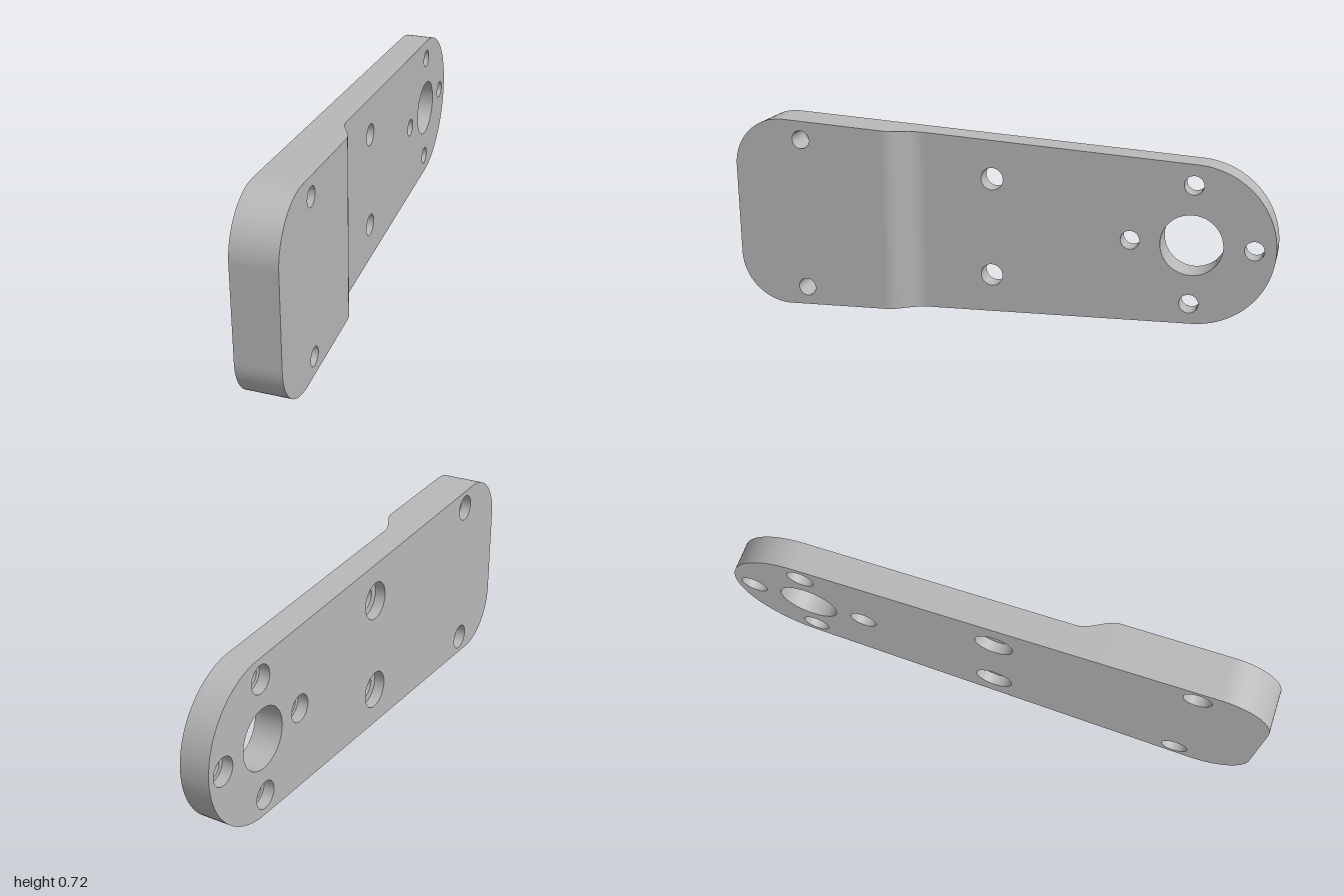
import * as THREE from 'three';

// Outline is drawn in (u, v) with u = -z and v = y.
const H = 0.722, MID = H / 2;
const BACK = -0.079, THIN = 0.028, THICK = 0.079;
const U0 = -0.41, U1 = -0.27; // the step between thick and thin parts
const TAIL = { u: 0.71, r: 0.29 }, CORNER = { u: -0.81, r: 0.19 };
const STEPS = 14;

// Front surface height along the plate
function frontX(u) {
  return THIN + (THICK - THIN) * (1 - THREE.MathUtils.smoothstep(u, U0, U1));
}

function arc(cu, cv, r, a0, a1, n) {
  return Array.from({ length: n + 1 }, (_, i) => {
    const a = a0 + (a1 - a0) * i / n;
    return new THREE.Vector2(cu + r * Math.cos(a), cv + r * Math.sin(a));
  });
}

// Rounded, tapering outline, counterclockwise, with extra points along the step
function makeOutline() {
  const du = TAIL.u - CORNER.u, dv = MID - CORNER.r;
  const tilt = Math.atan2(dv, du) - Math.asin((TAIL.r - CORNER.r) / Math.hypot(du, dv));
  const a = Math.PI / 2 - tilt;
  const tail = arc(TAIL.u, MID, TAIL.r, -a, a, 64);
  const top = arc(CORNER.u, H - CORNER.r, CORNER.r, a, Math.PI, 24);
  const bottom = arc(CORNER.u, CORNER.r, CORNER.r, Math.PI, 2 * Math.PI - a, 24);
  const p = tail[tail.length - 1], q = top[0];
  const step = Array.from({ length: STEPS + 1 }, (_, i) => {
    const u = U1 + (U0 - U1) * i / STEPS;
    return new THREE.Vector2(u, p.y + (q.y - p.y) * (u - p.x) / (q.x - p.x));
  });
  const stepLow = step.map(s => new THREE.Vector2(s.x, H - s.y)).reverse();
  return { points: [...tail, ...step, ...top, ...bottom, ...stepLow], step };
}

// Quad strip between two rows of [x, u, v] points
function strip(rowA, rowB, closed) {
  const n = rowA.length, pos = [], index = [];
  for (let i = 0; i < n; i++) {
    for (const [x, u, v] of [rowA[i], rowB[i]]) pos.push(x, v, -u);
  }
  for (let i = 0; i < (closed ? n : n - 1); i++) {
    const a = 2 * i, b = 2 * ((i + 1) % n);
    index.push(a, b, a + 1, b, b + 1, a + 1);
  }
  const g = new THREE.BufferGeometry();
  g.setAttribute('position', new THREE.Float32BufferAttribute(pos, 3));
  g.setIndex(index);
  g.computeVertexNormals();
  return g;
}

// Flat face with round holes, facing +x (or -x when flipped)
function face(points, holes, x, flip) {
  const s = new THREE.Shape(points);
  for (const h of holes) {
    s.holes.push(new THREE.Path(arc(h.u, h.v, flip ? h.bore : h.r, 0, 2 * Math.PI, 40).slice(0, -1)));
  }
  const g = new THREE.ShapeGeometry(s);
  if (flip) {
    const ix = g.index;
    for (let i = 0; i < ix.count; i += 3) {
      const t = ix.getX(i);
      ix.setX(i, ix.getX(i + 1));
      ix.setX(i + 1, t);
    }
    g.computeVertexNormals();
  }
  return g.rotateY(Math.PI / 2).translate(x, 0, 0);
}

export function createModel() {
  const group = new THREE.Group();
  const metal = new THREE.MeshStandardMaterial({ color: 0xb8b8b8 });
  metal.name = 'grey metal';
  const inside = new THREE.MeshStandardMaterial({ color: 0xb8b8b8, side: THREE.DoubleSide });
  inside.name = 'grey metal bore';
  const add = (name, geometry, material = metal) => {
    const m = new THREE.Mesh(geometry, material);
    m.name = name;
    group.add(m);
  };

  // Hole layout: r is the through radius, bore the counterbore radius
  const small = (u, v) => ({ u, v, r: 0.034, bore: 0.05 });
  const holes = [{ u: TAIL.u, v: MID, r: 0.11, bore: 0.11 }];
  for (let i = 0; i < 4; i++) {
    const a = i * Math.PI / 2;
    holes.push(small(TAIL.u + 0.216 * Math.cos(a), MID + 0.216 * Math.sin(a)));
  }
  for (const s of [-1, 1]) {
    holes.push({ u: -0.012, v: MID + s * 0.182, r: 0.041, bore: 0.07 });
    holes.push(small(-0.732, MID + s * 0.288));
  }

  // Flat faces
  const { points, step } = makeOutline();
  add('backFace', face(points, holes, BACK, true));
  add('thinFrontFace', face(points.filter(p => p.x > U1 - 1e-6), holes.filter(h => h.u > U1), THIN));
  add('thickFrontFace', face(points.filter(p => p.x < U0 + 1e-6), holes.filter(h => h.u < U0), THICK));

  // Curved step and outer rim
  add('curvedStep', strip(
    step.map(p => [frontX(p.x), p.x, p.y]),
    step.map(p => [frontX(p.x), p.x, H - p.y])));
  add('rim', strip(
    points.map(p => [BACK, p.x, p.y]),
    points.map(p => [frontX(p.x), p.x, p.y]), true));

  // Hole walls, with a ledge where counterbored
  for (const h of holes) {
    const front = frontX(h.u), ledge = BACK + 0.04;
    const runs = h.bore > h.r
      ? [[[h.bore, BACK], [h.bore, ledge]], [[h.bore, ledge], [h.r, ledge]], [[h.r, ledge], [h.r, front]]]
      : [[[h.r, BACK], [h.r, front]]];
    for (const run of runs) {
      // listed front to back so the surface faces the hole axis
      const g = new THREE.LatheGeometry(run.reverse().map(([r, x]) => new THREE.Vector2(r, x)), 40);
      g.rotateZ(-Math.PI / 2).translate(0, h.v, -h.u);
      add('holeWall', g, inside);
    }
  }
  return group;
}
